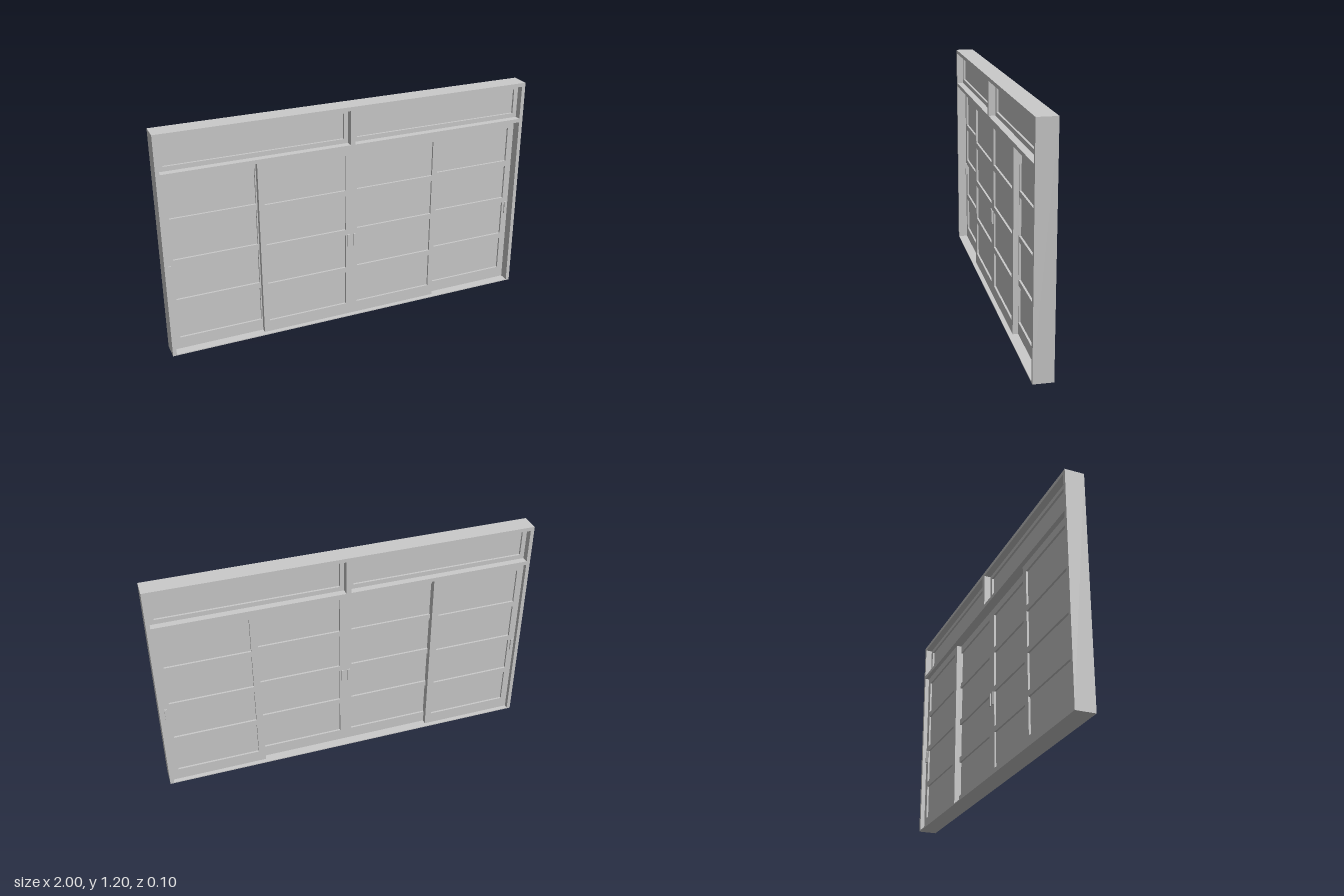
import * as THREE from 'three';

const material = new THREE.MeshStandardMaterial({ color: 0xcccccc });

// Box given by its lower and upper limits on each axis
function box(name, [x0, x1], [y0, y1], [z0, z1]) {
  const geometry = new THREE.BoxGeometry(x1 - x0, y1 - y0, z1 - z0);
  const mesh = new THREE.Mesh(geometry, material);
  mesh.position.set((x0 + x1) / 2, (y0 + y1) / 2, (z0 + z1) / 2);
  mesh.name = name;
  return mesh;
}

function rectangle(Type, [x0, x1], [y0, y1]) {
  return new Type([[x0, y0], [x1, y0], [x1, y1], [x0, y1]].map(([x, y]) => new THREE.Vector2(x, y)));
}

// Flat sash with one opening per row, each filled by a thin pane
function sash(name, xs, ys, zs, openingX, rows) {
  const group = new THREE.Group();
  group.name = name;
  const shape = rectangle(THREE.Shape, xs, ys);
  rows.forEach((row) => shape.holes.push(rectangle(THREE.Path, openingX, row)));
  const geometry = new THREE.ExtrudeGeometry(shape, { depth: zs[1] - zs[0], bevelEnabled: false });
  geometry.translate(0, 0, zs[0]);
  const border = new THREE.Mesh(geometry, material);
  border.name = 'sashFrame';
  group.add(border);
  const middle = (zs[0] + zs[1]) / 2;
  rows.forEach((row) => group.add(box('pane', openingX, row, [middle - 0.003, middle + 0.003])));
  return group;
}

// Slim pulls on both faces of a door
function addPulls(door, x, zs) {
  const xs = [x - 0.007, x + 0.007], ys = [0.42, 0.49];
  door.add(box('frontPull', xs, ys, [zs[1], zs[1] + 0.007]));
  door.add(box('backPull', xs, ys, [zs[0] - 0.007, zs[0]]));
}

export function createModel() {
  const model = new THREE.Group();
  model.name = 'slidingDoorUnit';
  const depth = [-0.05, 0.05];

  // Surrounding frame, transom bar and mullion
  model.add(box('rightJamb', [-1, -0.98], [0, 1.2], depth));
  model.add(box('leftJamb', [0.98, 1], [0, 1.2], depth));
  model.add(box('head', [-0.98, 0.98], [1.18, 1.2], depth));
  model.add(box('transomBar', [-0.98, 0.98], [0.98, 1], depth));
  model.add(box('sill', [-0.98, 0.98], [0, 0.005], depth));
  model.add(box('mullion', [-0.013, 0.013], [1, 1.18], depth));

  const rows = [[0.07, 0.262], [0.293, 0.487], [0.518, 0.712], [0.743, 0.937]];
  const height = [0.005, 0.98];
  const frontTrack = [0, 0.027], backTrack = [-0.027, 0];

  for (const side of [-1, 1]) {
    const label = side < 0 ? 'right' : 'left';
    const span = (a, b) => (side < 0 ? [-b, -a] : [a, b]);

    // Middle door on the front track, outer door behind it
    const inner = sash(label + 'InnerDoor', span(0, 0.5), height, frontTrack, span(0.032, 0.47), rows);
    addPulls(inner, side * 0.016, frontTrack);
    const outer = sash(label + 'OuterDoor', span(0.47, 0.98), height, backTrack, span(0.506, 0.945), rows);
    addPulls(outer, side * 0.965, backTrack);

    // Fixed light above the doors
    const light = sash(label + 'TransomLight', span(0.013, 0.98), [1, 1.18], [-0.014, 0.014],
      span(0.035, 0.956), [[1.024, 1.158]]);
    model.add(inner, outer, light);
  }
  return model;
}
